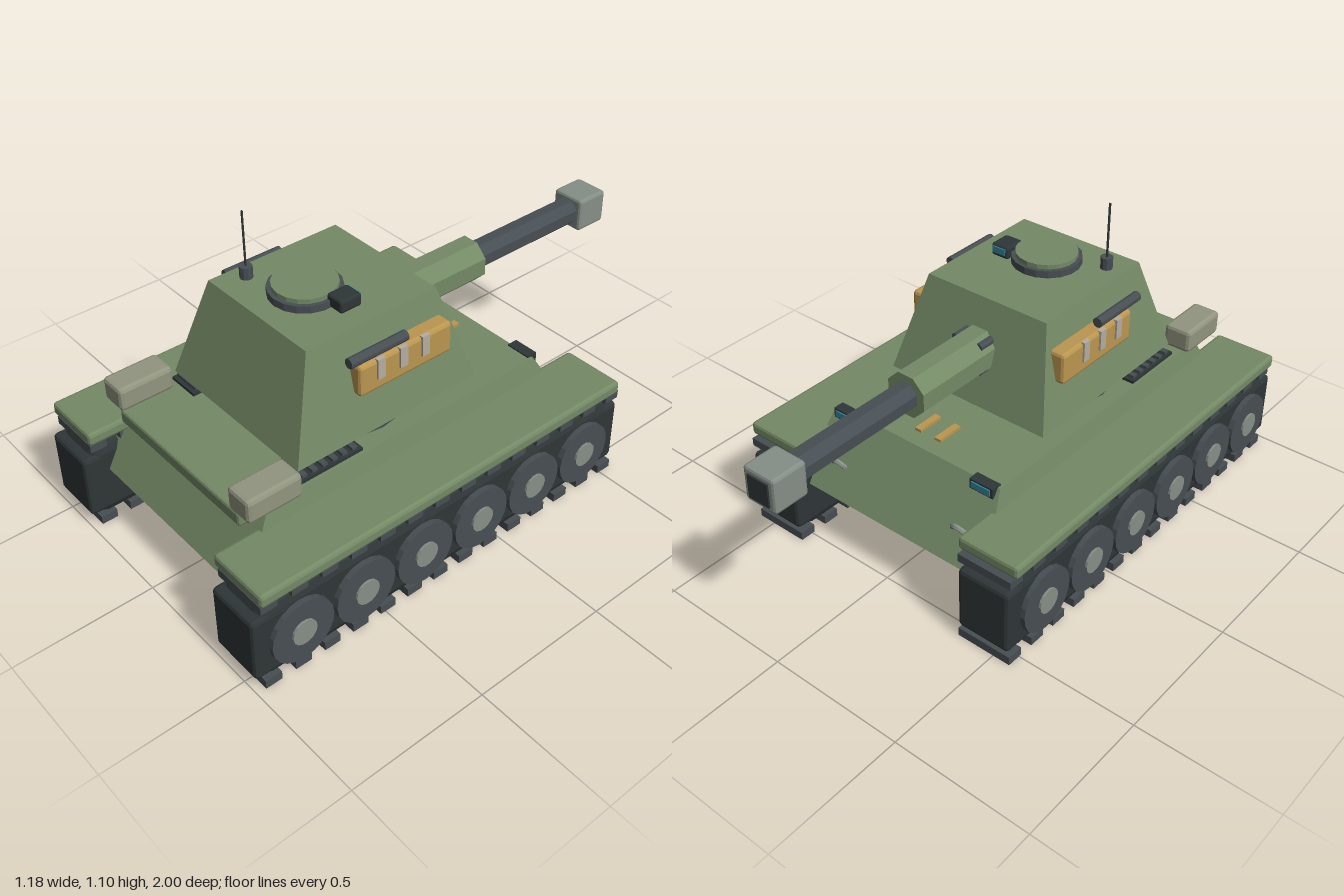
import * as THREE from 'three';
import { RoundedBoxGeometry } from 'three/addons/geometries/RoundedBoxGeometry.js';

const mat = (color) => new THREE.MeshStandardMaterial({ color, flatShading: true });
const M = {
  green: mat(0x748a66), dark: mat(0x2f3637), steel: mat(0x474e53), pale: mat(0x868f87),
  tan: mat(0xbb9750), canvas: mat(0x92957f), glass: mat(0x2f8296), strap: mat(0xb5ada0),
};

export function createModel() {
  const root = new THREE.Group();
  root.name = 'tank';

  const add = (name, geo, material, x = 0, y = 0, z = 0) => {
    const mesh = new THREE.Mesh(geo, material);
    mesh.name = name;
    mesh.position.set(x, y, z);
    root.add(mesh);
    return mesh;
  };
  // Boxes are given by their extents [min, max] on each axis
  const box = (name, material, [x0, x1], [y0, y1], [z0, z1], bevel = 0) => {
    const size = [Math.abs(x1 - x0), y1 - y0, z1 - z0];
    const geo = bevel ? new RoundedBoxGeometry(...size, 1, bevel) : new THREE.BoxGeometry(...size);
    return add(name, geo, material, (x0 + x1) / 2, (y0 + y1) / 2, (z0 + z1) / 2);
  };
  const cyl = (name, material, r, h, sides, axis, x, y, z) => {
    const geo = new THREE.CylinderGeometry(r, r, h, sides);
    if (sides === 8) geo.rotateY(Math.PI / 8);
    if (axis === 'x') geo.rotateZ(Math.PI / 2);
    if (axis === 'z') geo.rotateX(Math.PI / 2);
    return add(name, geo, material, x, y, z);
  };
  // Box whose top and bottom rectangles differ: [halfWidth, zMin, zMax]
  const frustum = (name, material, y0, y1, bottom, top) => {
    const geo = new THREE.BoxGeometry(1, 1, 1);
    const p = geo.attributes.position;
    for (let i = 0; i < p.count; i++) {
      const up = p.getY(i) > 0;
      const [w, za, zb] = up ? top : bottom;
      p.setXYZ(i, Math.sign(p.getX(i)) * w, up ? y1 : y0, p.getZ(i) < 0 ? za : zb);
    }
    geo.computeVertexNormals();
    return add(name, geo, material);
  };

  // Hull and rear plate
  frustum('hull', M.green, 0.215, 0.467, [0.41, -0.49, 0.91], [0.355, -0.34, 0.775]);
  box('rearPlate', M.green, [-0.325, 0.325], [0.413, 0.467], [0.76, 0.86], 0.01);

  // Running gear and hull fittings, mirrored
  for (const s of [1, -1]) {
    const X = (a, b) => [s * a, s * b];
    box('track', M.dark, X(0.36, 0.56), [0.03, 0.32], [-0.52, 0.965], 0.035);
    box('trackRearEnd', M.dark, X(0.36, 0.562), [0.052, 0.29], [0.85, 0.998], 0.014);
    box('trackFrontEnd', M.dark, X(0.36, 0.562), [0.052, 0.29], [-0.555, -0.41], 0.014);
    for (let i = 0; i < 14; i++) {
      const z = 0.937 - i * 0.112;
      box('lowerCleat', M.steel, X(0.358, 0.565), [0.002, 0.033], [z - 0.03, z + 0.03]);
      box('upperCleat', M.steel, X(0.358, 0.565), [0.315, 0.345], [z - 0.03, z + 0.03]);
    }
    for (let i = 0; i < 6; i++) {
      const z = 0.83 - i * 0.242;
      cyl('wheel', M.steel, 0.115, 0.06, 20, 'x', s * 0.55, 0.165, z);
      cyl('wheelHub', M.pale, 0.045, 0.03, 14, 'x', s * 0.573, 0.165, z);
    }
    box('fender', M.green, X(0.345, 0.58), [0.35, 0.398], [-0.535, 0.972], 0.012);

    box('rearStowage', M.canvas, X(0.288, 0.394), [0.475, 0.562], [0.67, 0.87], 0.014);
    box('grille', M.dark, X(0.22, 0.343), [0.463, 0.478], [0.4, 0.645]);
    for (let i = 0; i < 6; i++) {
      const z = 0.425 + i * 0.039;
      box('grilleSlat', M.steel, X(0.23, 0.335), [0.476, 0.488], [z - 0.01, z + 0.01]);
    }
    box('headlight', M.dark, X(0.25, 0.345), [0.435, 0.472], [-0.365, -0.325]);
    box('headlightLens', M.glass, X(0.26, 0.335), [0.443, 0.466], [-0.37, -0.36]);
    const hook = add('towHook', new THREE.TorusGeometry(0.026, 0.009, 6, 10, Math.PI),
      M.pale, s * 0.265, 0.31, -0.433);
    hook.rotation.x = -0.54;
    box('glacisMarker', M.tan, X(0.03, 0.055), [0.463, 0.478], [-0.28, -0.18]);
  }

  // Turret body on its ring
  cyl('turretRing', M.steel, 0.3, 0.05, 20, 'y', 0, 0.488, 0.28);
  frustum('turret', M.green, 0.508, 0.857, [0.328, -0.09, 0.64], [0.248, 0.018, 0.532]);

  // Turret side stowage, mirrored
  for (const s of [1, -1]) {
    box('sideBin', M.tan, [s * 0.255, s * 0.324], [0.652, 0.766], [0.015, 0.39], 0.012);
    for (const z of [0.13, 0.22, 0.31])
      box('binStrap', M.strap, [s * 0.315, s * 0.331], [0.695, 0.768], [z - 0.015, z + 0.015]);
    cyl('sideTube', M.steel, 0.018, 0.225, 10, 'z', s * 0.315, 0.798, 0.315);
  }

  // Gun
  cyl('mantlet', M.green, 0.081, 0.42, 8, 'z', 0, 0.682, -0.165);
  for (const x of [-0.05, 0.05])
    for (const y of [0.64, 0.733])
      cyl('mantletBolt', M.steel, 0.015, 0.08, 8, 'z', x, y, -0.04);
  cyl('barrel', M.steel, 0.051, 0.56, 8, 'z', 0, 0.682, -0.62);
  box('muzzle', M.pale, [-0.064, 0.064], [0.62, 0.744], [-0.992, -0.863], 0.01);
  box('bore', M.dark, [-0.042, 0.042], [0.64, 0.724], [-0.998, -0.95]);

  // Cupola, periscope and antenna
  cyl('cupola', M.steel, 0.122, 0.03, 18, 'y', 0, 0.868, 0.34);
  cyl('hatch', M.green, 0.108, 0.03, 18, 'y', 0, 0.884, 0.34);
  box('periscope', M.dark, [0.102, 0.173], [0.857, 0.902], [0.255, 0.337], 0.008);
  box('periscopeLens', M.glass, [0.112, 0.163], [0.872, 0.895], [0.25, 0.26]);
  cyl('antennaBase', M.steel, 0.022, 0.05, 10, 'y', -0.185, 0.875, 0.43);
  cyl('antenna', M.dark, 0.004, 0.2, 6, 'y', -0.185, 0.998, 0.43);

  return root;
}
